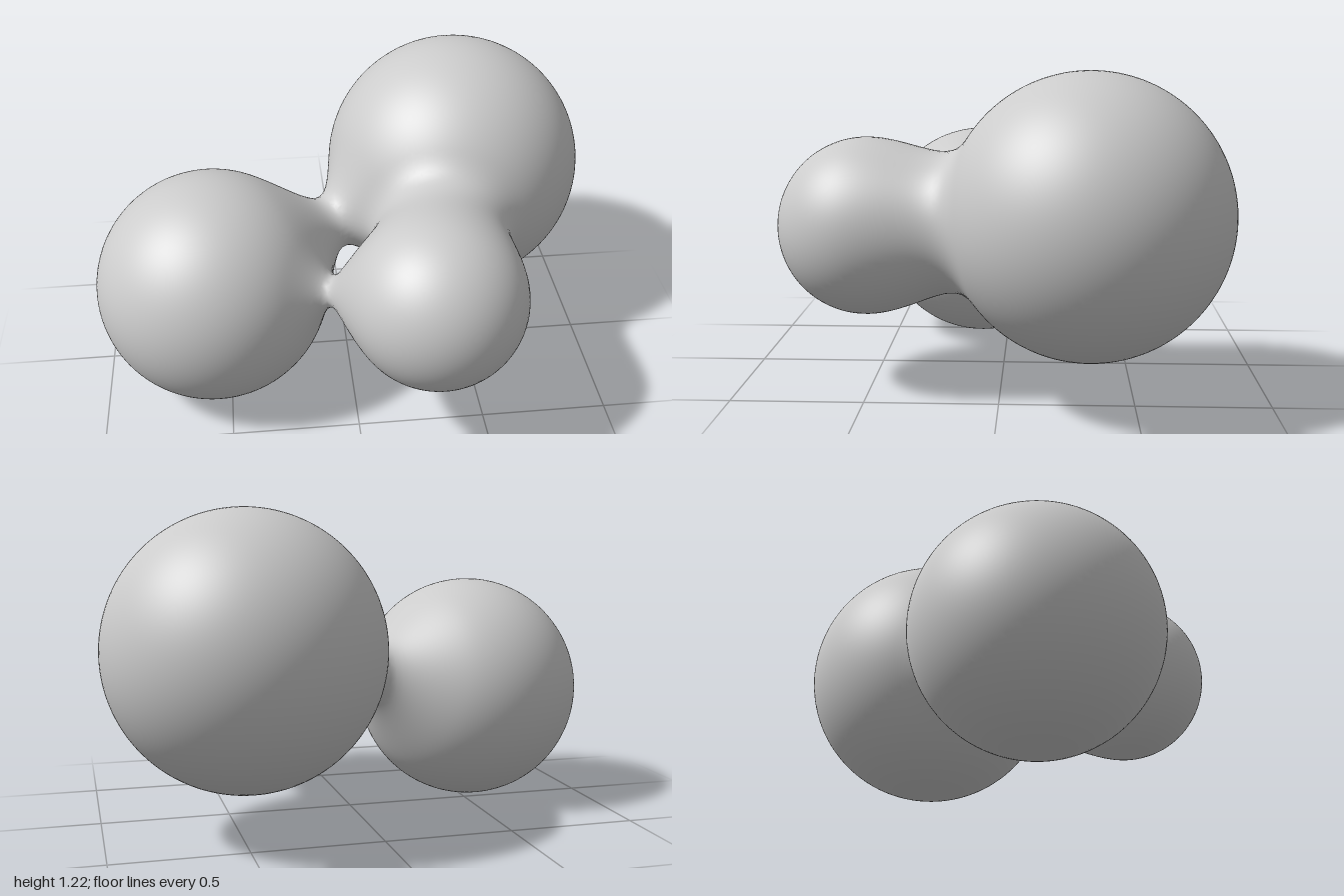
import * as THREE from 'three';

// Three blobs that melt together: centre and visible radius
const BLOBS = [
  { c: [-0.543, 0.457, 0.115], r: 0.457 },
  { c: [0.48, 0.7, -0.325], r: 0.52 },
  { c: [0.286, 0.627, 0.505], r: 0.335 },
];
const LEVEL = 0.3;
const REACH = 1 / Math.sqrt(1 - Math.cbrt(LEVEL)); // influence radius / visible radius

// Soft falloff field, positive inside; optionally accumulates its gradient
function field(p, grad) {
  let sum = -LEVEL;
  if (grad) grad.set(0, 0, 0);
  for (const { c, r } of BLOBS) {
    const R2 = (r * REACH) ** 2;
    const dx = p.x - c[0], dy = p.y - c[1], dz = p.z - c[2];
    const k = 1 - (dx * dx + dy * dy + dz * dz) / R2;
    if (k <= 0) continue;
    sum += k ** 3;
    if (grad) {
      const g = (-6 * k * k) / R2;
      grad.x += g * dx; grad.y += g * dy; grad.z += g * dz;
    }
  }
  return sum;
}

// Wraps the field's zero level in a smooth quad net
function blobGeometry(step) {
  const min = [-1.06, -0.06, -0.91];
  const n = [2.12, 1.35, 1.82].map((s) => Math.ceil(s / step) + 1);
  const stride = [1, n[0], n[0] * n[1]];
  const total = n[0] * n[1] * n[2];
  const values = new Float32Array(total);
  const cellVertex = new Int32Array(total).fill(-1);
  const positions = [], normals = [], indices = [];
  const p = new THREE.Vector3(), g = new THREE.Vector3();

  const eachNode = (fn) => {
    for (let k = 0; k < n[2]; k++)
      for (let j = 0; j < n[1]; j++)
        for (let i = 0; i < n[0]; i++)
          fn([i, j, k], i + j * stride[1] + k * stride[2]);
  };

  eachNode((q, id) => {
    p.set(min[0] + q[0] * step, min[1] + q[1] * step, min[2] + q[2] * step);
    values[id] = field(p);
  });

  // One vertex per crossed cell, pulled onto the surface
  eachNode((q, id) => {
    if (q.some((v, a) => v >= n[a] - 1)) return;
    const sum = [0, 0, 0];
    let count = 0;
    for (let corner = 0; corner < 8; corner++) {
      const o = [corner & 1, (corner >> 1) & 1, corner >> 2];
      const from = id + o[0] + o[1] * stride[1] + o[2] * stride[2];
      for (let a = 0; a < 3; a++) {
        if (o[a]) continue;
        const v0 = values[from], v1 = values[from + stride[a]];
        if (v0 > 0 === v1 > 0) continue;
        for (let b = 0; b < 3; b++) sum[b] += o[b] + (b === a ? v0 / (v0 - v1) : 0);
        count++;
      }
    }
    if (!count) return;
    p.fromArray(sum.map((s, a) => min[a] + (q[a] + s / count) * step));
    for (let pass = 0; pass < 4; pass++) {
      const f = field(p, g);
      g.multiplyScalar(-f / Math.max(g.lengthSq(), 1e-6)).clampLength(0, step * 0.4);
      p.add(g);
    }
    field(p, g);
    g.normalize().negate();
    cellVertex[id] = positions.length / 3;
    positions.push(p.x, p.y, p.z);
    normals.push(g.x, g.y, g.z);
  });

  // One quad around every crossed grid edge
  eachNode((q, id) => {
    for (let a = 0; a < 3; a++) {
      const b = (a + 1) % 3, c = (a + 2) % 3;
      if (q[a] >= n[a] - 1 || !q[b] || !q[c]) continue;
      const inside = values[id] > 0;
      if (inside === values[id + stride[a]] > 0) continue;
      const quad = [id, id - stride[b], id - stride[b] - stride[c], id - stride[c]]
        .map((cell) => cellVertex[cell]);
      if (!inside) quad.reverse();
      const [v0, v1, v2, v3] = quad;
      indices.push(v0, v1, v2, v0, v2, v3);
    }
  });

  const geometry = new THREE.BufferGeometry();
  geometry.setAttribute('position', new THREE.Float32BufferAttribute(positions, 3));
  geometry.setAttribute('normal', new THREE.Float32BufferAttribute(normals, 3));
  geometry.setIndex(indices);
  return geometry;
}

export function createModel() {
  const group = new THREE.Group();
  group.name = 'mergedBlobs';
  const body = new THREE.Mesh(
    blobGeometry(0.024),
    new THREE.MeshStandardMaterial({ color: 0xcccccc })
  );
  body.name = 'blobBody';
  group.add(body);
  return group;
}
